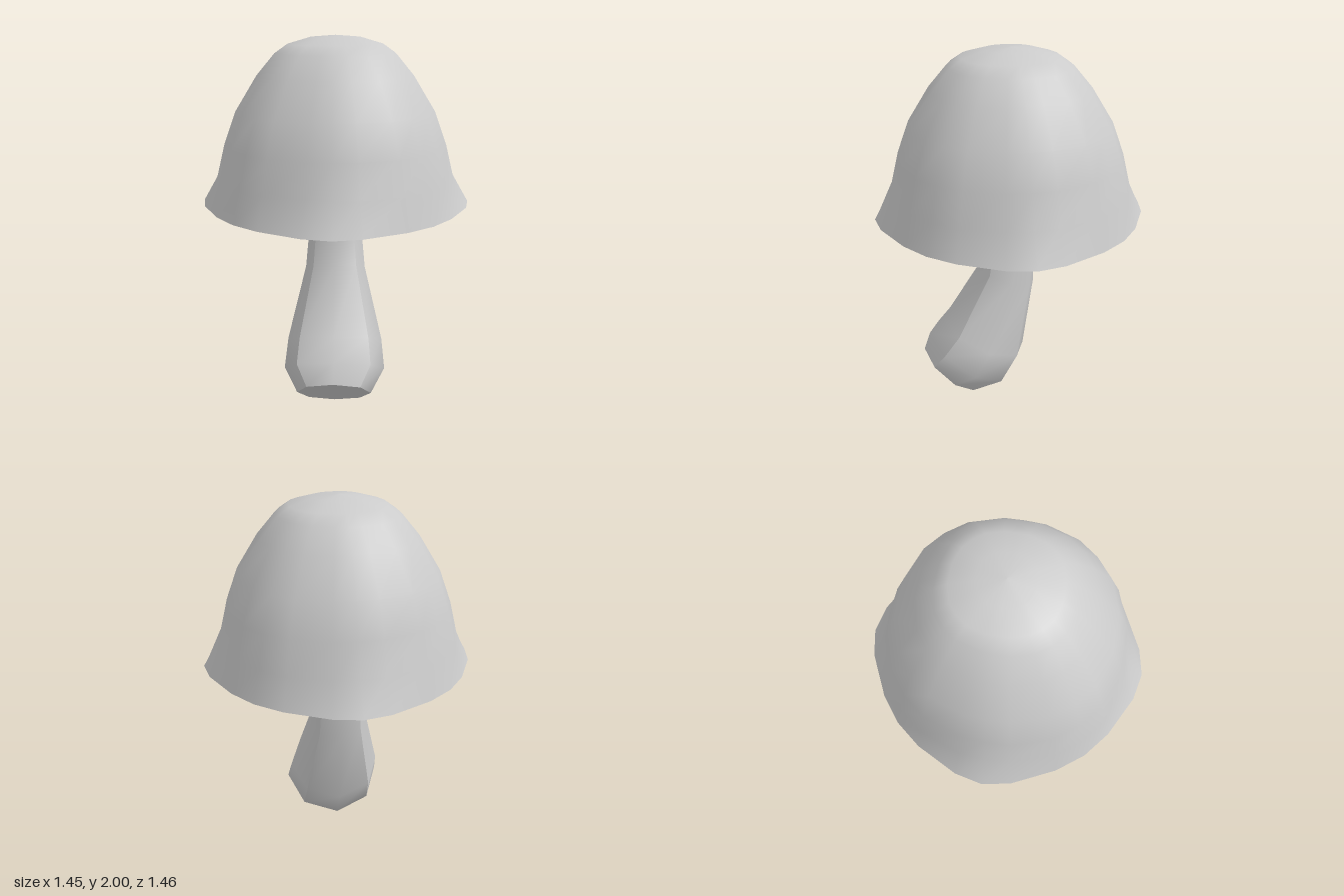
import * as THREE from 'three';

// Smooth skin over a stack of rings; closed joins the last column to the first
function loft(rings, closed) {
  const n = rings[0].length, index = [];
  for (let i = 0; i < rings.length - 1; i++) {
    for (let j = 0; j < (closed ? n : n - 1); j++) {
      const k = (j + 1) % n;
      const a = i * n + j, b = i * n + k, c = a + n, d = b + n;
      index.push(a, b, d, a, d, c);
    }
  }
  const geo = new THREE.BufferGeometry().setFromPoints(rings.flat());
  geo.setIndex(index);
  geo.computeVertexNormals();
  return geo;
}

export function createModel() {
  const model = new THREE.Group();
  const material = new THREE.MeshStandardMaterial({ color: 0xcccccc });
  const add = (geo, name, parent = model) => {
    const mesh = new THREE.Mesh(geo, material);
    mesh.name = name;
    parent.add(mesh);
  };

  // Cap: 24 uneven columns; s bulges (+) or pulls in (-) the diagonals of a ring
  const columns = [];
  for (let q = 0; q < 4; q++) {
    [[0, 0], [11.5, 0.4], [31, 1], [45, 1], [59, 1], [78.5, 0.4]].forEach(([deg, k]) =>
      columns.push([THREE.MathUtils.degToRad(deg + q * 90), k]));
  }
  const capRing = ([r, y, s]) => columns.map(([a, k]) =>
    new THREE.Vector3(Math.sin(a) * r * (1 + s * k) * 0.99, y, Math.cos(a) * r * (1 + s * k)));
  const outer = [[0.73, 1.12, -0.05], [0.635, 1.28, 0.02], [0.59, 1.45, 0.025], [0.525, 1.62, 0.03],
    [0.41, 1.8, 0.04], [0.315, 1.91, 0.05], [0.25, 1.955, 0.05], [0.13, 1.99, 0.05], [0.001, 2, 0]];
  const inner = [[0.001, 1.52, 0], [0.1, 1.5, 0], [0.4, 1.29, 0], [0.56, 1.13, 0]];
  const lip = [inner[3], outer[0]];
  const cap = new THREE.Group();
  cap.name = 'cap';
  add(loft(outer.map(capRing), true), 'capTop', cap);
  add(loft(inner.map(capRing), true), 'capUnderside', cap);
  add(loft(lip.map(capRing), true), 'capLip', cap);
  model.add(cap);

  // Stem: eight-sided rings between a front and a back point [z, y], with half width
  const sections = [
    [0.51, 0.27, 0.2, 0, 0.2],
    [0.475, 0.375, 0.02, 0.08, 0.275],
    [0.39, 0.475, -0.075, 0.25, 0.26],
    [0.18, 0.8, -0.135, 0.68, 0.165],
    [0.125, 1.12, -0.135, 1.1, 0.13],
    [0.11, 1.52, -0.11, 1.52, 0.11],
  ];
  const stemPoint = ([fz, fy, bz, by, w], j) => {
    const a = j * Math.PI / 4, c = Math.cos(a) / 2;
    return new THREE.Vector3(Math.sin(a) * w, (fy + by) / 2 + c * (fy - by), (fz + bz) / 2 + c * (fz - bz));
  };
  const stem = new THREE.Group();
  stem.name = 'stem';
  // Four panels, each smooth across its middle, with creases on the diagonals
  for (let p = 0; p < 4; p++) {
    const cols = [-1, 0, 1].map((d) => p * 2 + d);
    add(loft(sections.map((s) => cols.map((j) => stemPoint(s, j))), false), 'stemPanel', stem);
  }

  // Flat slanted cut at the foot
  const [fz, fy, bz, by] = sections[0];
  const centre = new THREE.Vector3(0, (fy + by) / 2, (fz + bz) / 2);
  const rim = Array.from({ length: 8 }, (_, j) => stemPoint(sections[0], j));
  add(loft([rim.map(() => centre), rim], true), 'stemFoot', stem);
  model.add(stem);
  return model;
}
